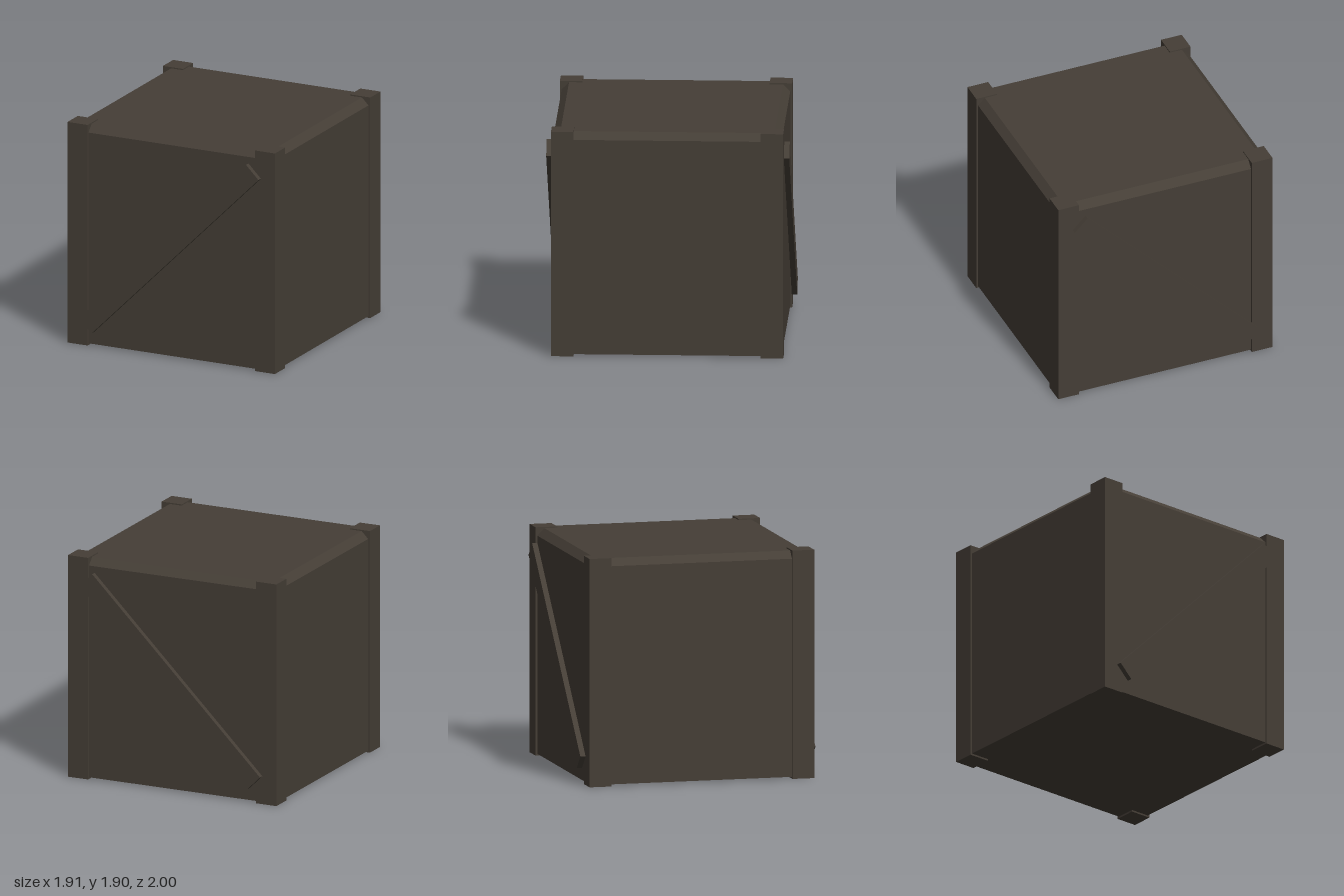
import * as THREE from 'three';

export function createModel() {
  const crate = new THREE.Group();
  crate.name = 'crate';
  const wood = new THREE.MeshStandardMaterial({ color: 0x453e36 });
  wood.name = 'dark wood';

  const add = (name, geometry, x, y, z) => {
    const mesh = new THREE.Mesh(geometry, wood);
    mesh.name = name;
    mesh.position.set(x, y, z);
    crate.add(mesh);
    return mesh;
  };

  // Box body: the middle row of vertices rises to the foot of the bevel,
  // the top row moves inward to make the sloped upper edges
  const bottom = 0.015, top = 1.89, bevel = 0.06, half = 0.94;
  const box = new THREE.BoxGeometry(half * 2, 2, half * 2, 1, 2, 1);
  const p = box.attributes.position;
  for (let i = 0; i < p.count; i++) {
    const level = Math.round(p.getY(i));
    if (level < 0) p.setY(i, bottom);
    else if (level === 0) p.setY(i, top - bevel);
    else {
      p.setXYZ(i, Math.sign(p.getX(i)) * (half - bevel), top, Math.sign(p.getZ(i)) * (half - bevel));
    }
  }
  const body = box.toNonIndexed();
  body.computeVertexNormals();
  add('body', body, 0, 0, 0);

  // Corner posts
  const post = new THREE.BoxGeometry(0.185, 1.9, 0.185);
  for (const sx of [-1, 1]) {
    for (const sz of [-1, 1]) {
      const name = (sz > 0 ? 'front' : 'back') + (sx > 0 ? 'Left' : 'Right') + 'Post';
      add(name, post, sx * 0.864, 0.95, sz * 0.863);
    }
  }

  // Diagonal braces, both rising towards +x
  const brace = new THREE.BoxGeometry(2.178, 0.163, 0.045);
  for (const sz of [-1, 1]) {
    add(sz > 0 ? 'frontBrace' : 'backBrace', brace, 0, 0.952, sz * 0.9775).rotation.z = Math.PI / 4;
  }

  return crate;
}
